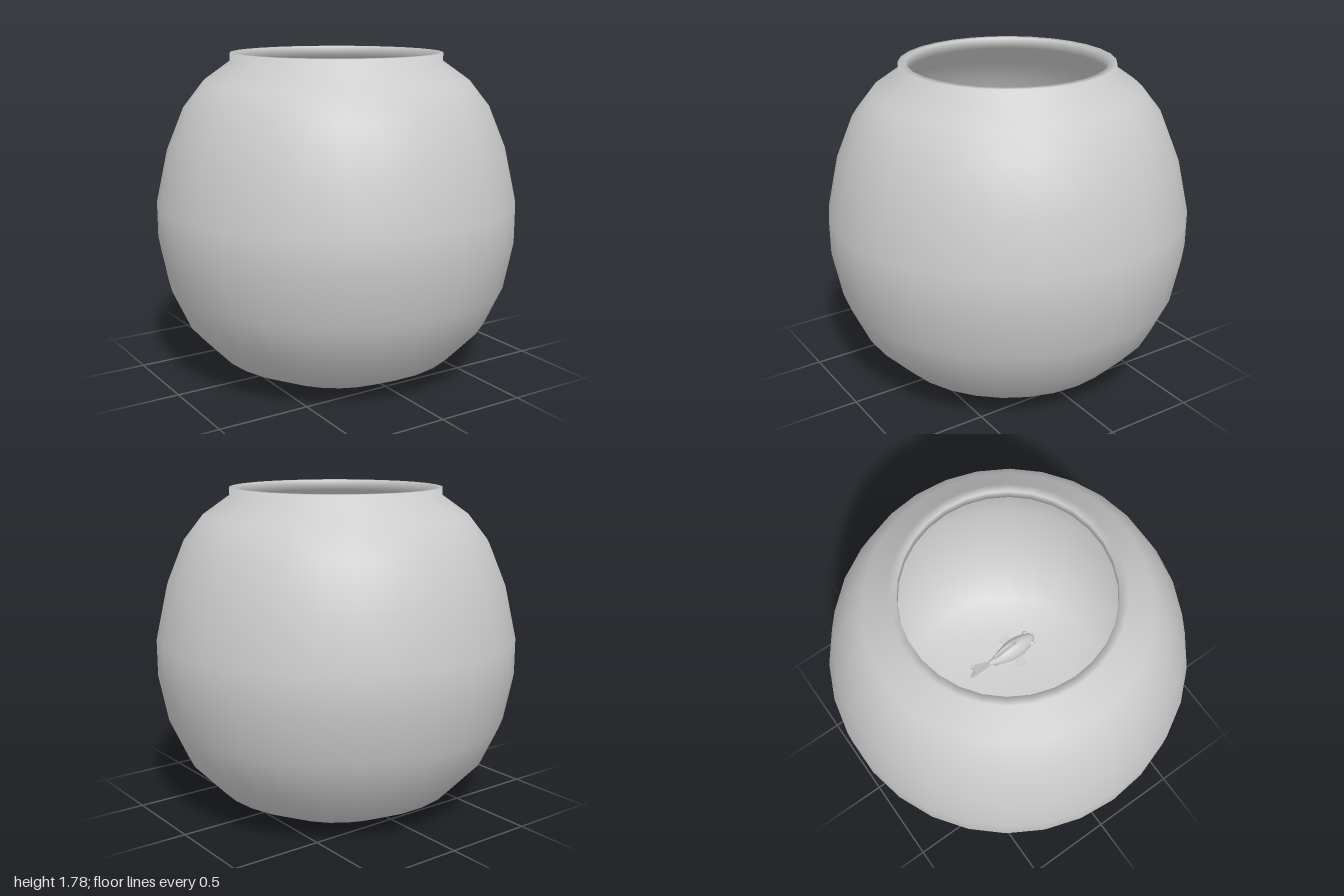
import * as THREE from 'three';

const material = () => new THREE.MeshStandardMaterial({ color: 0xcccccc });
const thin = () => new THREE.MeshStandardMaterial({ color: 0xcccccc, side: THREE.DoubleSide });
const points = (list) => list.map(([x, y]) => new THREE.Vector2(x, y));

function add(parent, name, geometry, mat = material()) {
  const mesh = new THREE.Mesh(geometry, mat);
  mesh.name = name;
  parent.add(mesh);
  return mesh;
}

// Thin fin cut from an outline of (z, y) points, standing in the middle plane
function finGeometry(outline, thickness) {
  const shape = new THREE.Shape();
  shape.moveTo(...outline[0]);
  shape.splineThru(points([...outline.slice(1), outline[0]]));
  const geo = new THREE.ExtrudeGeometry(shape, { depth: thickness, bevelEnabled: false, curveSegments: 24 });
  return geo.translate(0, 0, -thickness / 2).rotateY(-Math.PI / 2);
}

// Sideways swing that grows toward the tail
function bend(geo) {
  const p = geo.attributes.position;
  for (let i = 0; i < p.count; i++) {
    const t = Math.max(0, -p.getZ(i) - 0.06);
    p.setX(i, p.getX(i) + 0.01 * Math.min(1, t * 10) + 0.5 * t * t);
  }
  geo.computeVertexNormals();
  return geo;
}

function createBowl() {
  // Outer wall, rolled rim, then the inner wall back down to the floor
  const profile = [
    [0, 0], [0.45, 0], [0.68, 0.11], [0.85, 0.29], [0.95, 0.51], [1, 0.77], [1, 0.97],
    [0.935, 1.26], [0.84, 1.49], [0.73, 1.63], [0.583, 1.735], [0.583, 1.78], [0.54, 1.78],
    [0.54, 1.72], [0.7, 1.6], [0.805, 1.465], [0.895, 1.25], [0.96, 0.965], [0.96, 0.775],
    [0.91, 0.525], [0.815, 0.315], [0.66, 0.148], [0.44, 0.04], [0, 0.04],
  ];
  return new THREE.LatheGeometry(points(profile), 30, Math.PI / 2);
}

function createFish() {
  const fish = new THREE.Group();
  fish.name = 'fish';

  // Body: round sections along z, taller than wide
  const body = new THREE.LatheGeometry(points([
    [0, -0.13], [0.012, -0.125], [0.02, -0.09], [0.038, -0.04], [0.051, 0.01],
    [0.055, 0.05], [0.052, 0.09], [0.042, 0.13], [0.028, 0.165], [0.014, 0.18], [0, 0.183],
  ]), 20);
  body.rotateX(Math.PI / 2).scale(1, 1.4, 1);
  add(fish, 'body', bend(body));

  // Fins in the middle plane
  add(fish, 'tailFin', bend(finGeometry(
    [[-0.1, 0], [-0.16, 0.05], [-0.235, 0.085], [-0.215, 0], [-0.235, -0.085], [-0.16, -0.05]], 0.014)), thin());
  add(fish, 'dorsalFin', bend(finGeometry(
    [[0.07, 0.065], [0.03, 0.11], [-0.04, 0.105], [-0.085, 0.06], [-0.07, 0.03], [0, 0.055]], 0.012)), thin());
  add(fish, 'analFin', bend(finGeometry(
    [[-0.02, -0.05], [-0.06, -0.085], [-0.09, -0.07], [-0.07, -0.03]], 0.01)), thin());

  // Paired side fins and eyes
  for (const side of [-1, 1]) {
    const name = side > 0 ? 'left' : 'right';
    const fin = new THREE.Shape(points([
      [0.03, 0.08], [0.065, 0.07], [0.1, 0.065], [0.108, 0.045], [0.098, 0.01], [0.065, 0.02], [0.03, 0.03],
    ].map(([x, z]) => [side * x, -z])));
    const finGeo = new THREE.ExtrudeGeometry(fin, { depth: 0.008, bevelEnabled: false });
    finGeo.rotateX(-Math.PI / 2);
    const finMesh = add(fish, name + 'SideFin', finGeo, thin());
    finMesh.position.y = -0.025;
    const eye = add(fish, name + 'Eye', new THREE.SphereGeometry(0.017, 14, 10));
    eye.position.set(side * 0.034, 0.018, 0.146);
  }
  fish.position.set(0.008, 0.87, 0);
  return fish;
}

export function createModel() {
  const model = new THREE.Group();
  model.name = 'fishBowl';
  add(model, 'bowl', createBowl());
  model.add(createFish());
  return model;
}
